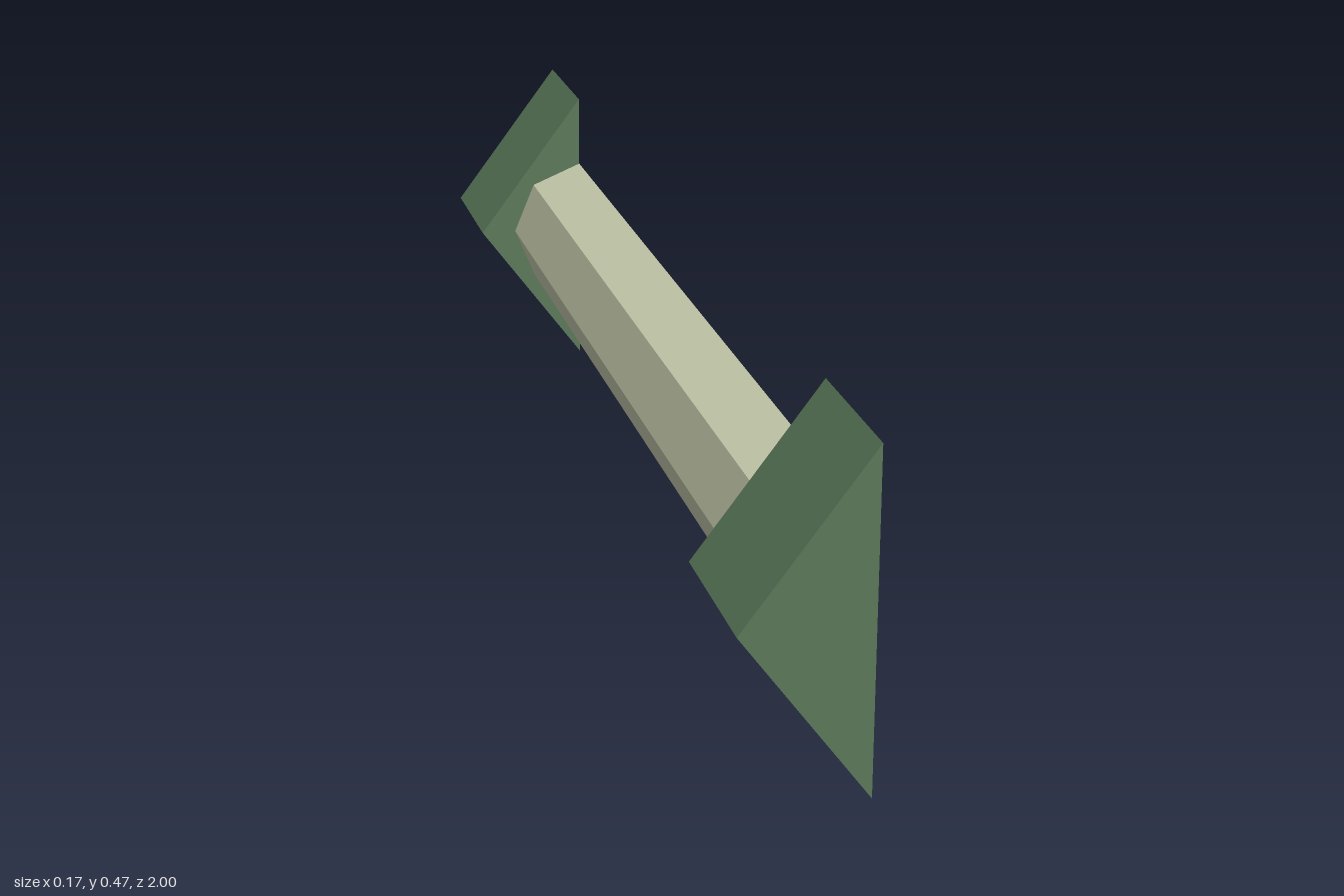
import * as THREE from 'three';

const BACK_X = 0.0875; // plane of the flat back shared by all parts
const MID_Y = 0.2333;  // height of the long axis
const INNER_Z = 0.762; // where the end blocks meet the bar

// Straight prism along z from a cross-section in x and y
function prism(points, z0, z1, material, name) {
  const shape = new THREE.Shape(points);
  const geometry = new THREE.ExtrudeGeometry(shape, { depth: z1 - z0, bevelEnabled: false });
  geometry.translate(0, 0, z0);
  const mesh = new THREE.Mesh(geometry, material);
  mesh.name = name;
  return mesh;
}

export function createModel() {
  const green = new THREE.MeshStandardMaterial({ color: 0x5a7859 });
  green.name = 'mossGreen';
  const beige = new THREE.MeshStandardMaterial({ color: 0xc5c9ab });
  beige.name = 'paleBeige';

  const group = new THREE.Group();
  group.name = 'barWithEndBlocks';

  // Half-octagonal bar with a flat back
  const radius = 0.1167;
  const section = [];
  for (let i = 0; i <= 4; i++) {
    const a = Math.PI / 2 + (i * Math.PI) / 4;
    section.push(new THREE.Vector2(BACK_X + radius * Math.cos(a), MID_Y + radius * Math.sin(a)));
  }
  group.add(prism(section, -INNER_Z, INNER_Z, beige, 'bar'));

  // Triangular blocks at both ends
  const triangle = [
    new THREE.Vector2(BACK_X, 0),
    new THREE.Vector2(BACK_X, 2 * MID_Y),
    new THREE.Vector2(-BACK_X, MID_Y),
  ];
  group.add(prism(triangle, INNER_Z, 1, green, 'frontEndBlock'));
  group.add(prism(triangle, -1, -INNER_Z, green, 'backEndBlock'));

  return group;
}
